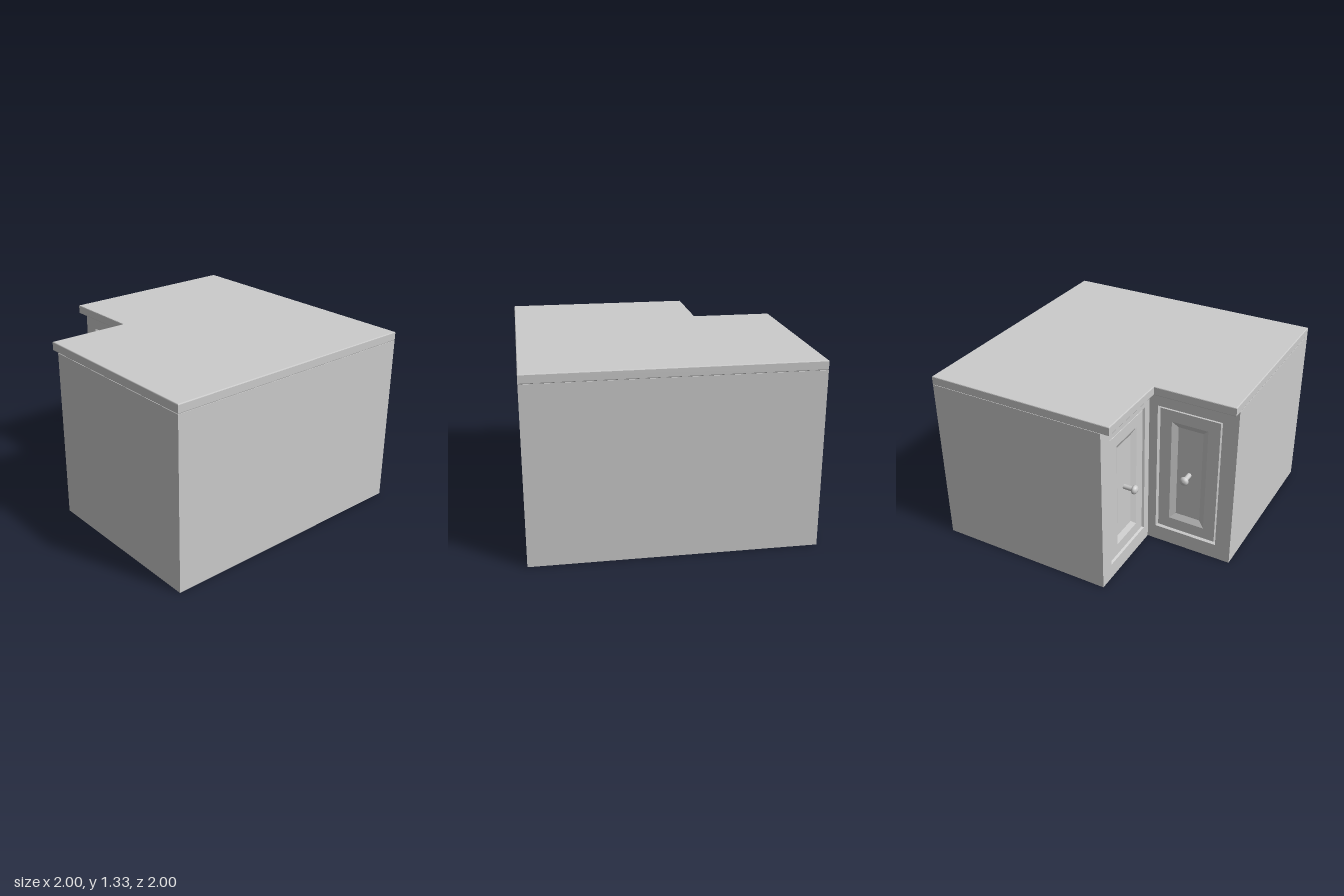
import * as THREE from 'three';

const material = new THREE.MeshStandardMaterial({ color: 0xcccccc });
const BODY_TOP = 1.268, TOP = 1.333;
const FACE = 0.335;      // distance of the door faces from the centre
const THICK = 0.05;      // thickness of the face frames
const DOOR_MID = 0.6425, DOOR_W = 0.485, DOOR_Y0 = 0.12, DOOR_Y1 = 1.155;

function mesh(geometry, name) {
  const m = new THREE.Mesh(geometry, material);
  m.name = name;
  return m;
}

// Square slab lying flat, with its front right corner cut away at the given distance
function cornerSlab(notch, y0, y1, bevel) {
  const shape = new THREE.Shape([
    [-1, 1], [-1, -notch], [-notch, -notch], [-notch, -1], [1, -1], [1, 1],
  ].map(([x, y]) => new THREE.Vector2(x, y)));
  const geometry = new THREE.ExtrudeGeometry(shape, {
    depth: y1 - y0 - 2 * bevel, bevelEnabled: bevel > 0,
    bevelSize: bevel, bevelThickness: bevel, bevelOffset: -bevel, bevelSegments: 2,
  });
  geometry.rotateX(-Math.PI / 2);
  geometry.translate(0, y0 + bevel, 0);
  return geometry;
}

function rectPoints(x0, y0, x1, y1) {
  return [[x0, y0], [x1, y0], [x1, y1], [x0, y1]].map(([x, y]) => new THREE.Vector2(x, y));
}

// Wall with a door opening, its face on local z = 0
function frameGeometry(left, right) {
  const shape = new THREE.Shape(rectPoints(left, 0, right, BODY_TOP));
  shape.holes.push(new THREE.Path(rectPoints(-DOOR_W / 2, DOOR_Y0, DOOR_W / 2, DOOR_Y1)));
  const geometry = new THREE.ExtrudeGeometry(shape, { depth: THICK, bevelEnabled: false });
  return geometry.translate(0, 0, -THICK);
}

// Moulded door: nested rectangles given as [inset, depth], closed by a flat panel
function doorGeometry() {
  const steps = [[0, 0], [0.009, -0.025], [0.017, -0.01], [0.105, -0.01], [0.148, -0.032]];
  const rings = steps.map(([inset, z]) =>
    rectPoints(-DOOR_W / 2 + inset, DOOR_Y0 + inset, DOOR_W / 2 - inset, DOOR_Y1 - inset)
      .map((p) => [p.x, p.y, z]));
  const positions = [];
  const quad = (a, b, c, d) => positions.push(...a, ...b, ...c, ...a, ...c, ...d);
  for (let r = 0; r < rings.length - 1; r++) {
    for (let i = 0; i < 4; i++) {
      const j = (i + 1) % 4;
      quad(rings[r][i], rings[r][j], rings[r + 1][j], rings[r + 1][i]);
    }
  }
  quad(...rings[rings.length - 1]);
  const geometry = new THREE.BufferGeometry();
  geometry.setAttribute('position', new THREE.Float32BufferAttribute(positions, 3));
  geometry.computeVertexNormals();
  return geometry;
}

// Round knob on a stem, turned around local z
function knobGeometry() {
  const profile = [
    [0.018, -0.034], [0.018, 0.034], [0.026, 0.038], [0.033, 0.046],
    [0.033, 0.054], [0.028, 0.066], [0.017, 0.073], [0, 0.076],
  ].map(([r, y]) => new THREE.Vector2(r, y));
  return new THREE.LatheGeometry(profile, 24).rotateX(Math.PI / 2);
}

function doorFront(name, left, right) {
  const group = new THREE.Group();
  group.name = name;
  const knob = mesh(knobGeometry(), 'knob');
  knob.position.y = 0.635;
  group.add(mesh(frameGeometry(left, right), 'faceFrame'), mesh(doorGeometry(), 'door'), knob);
  return group;
}

export function createModel() {
  const model = new THREE.Group();
  model.name = 'cornerCabinet';

  model.add(mesh(cornerSlab(FACE - THICK, 0, BODY_TOP, 0), 'cabinetBody'));
  model.add(mesh(cornerSlab(0.4, BODY_TOP, TOP, 0.006), 'countertop'));

  // Two door fronts meeting in the inner corner
  const outer = 1 - DOOR_MID, inner = DOOR_MID - FACE;
  const front = doorFront('frontDoor', -outer, inner + THICK);
  front.position.set(-DOOR_MID, 0, FACE);
  const side = doorFront('sideDoor', -inner, outer);
  side.position.set(-FACE, 0, DOOR_MID);
  side.rotation.y = -Math.PI / 2;
  model.add(front, side);

  return model;
}
